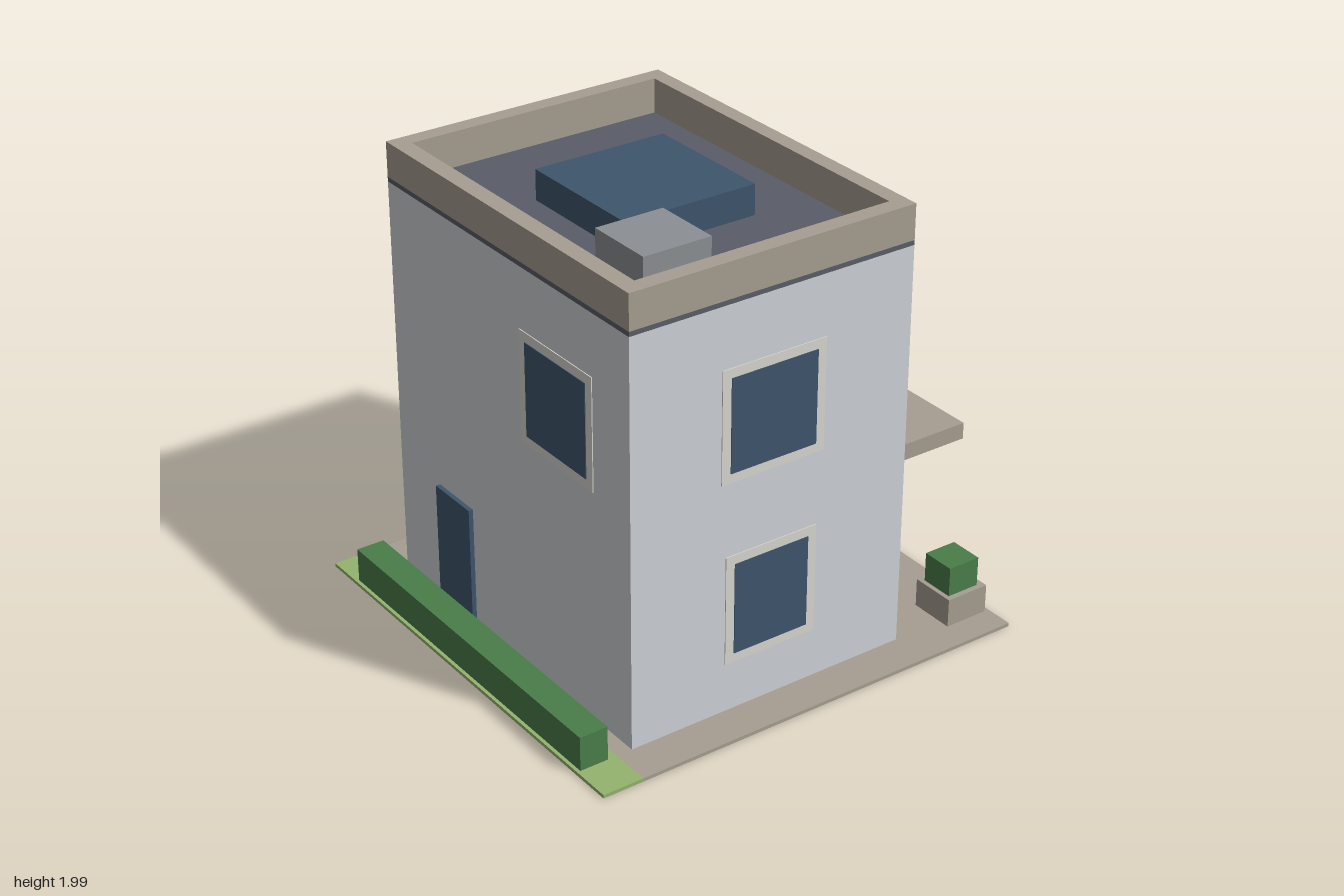
import * as THREE from 'three';

const COLORS = {
  wall: 0xced2d6, stone: 0xa69e91, slate: 0x5a5d69, glass: 0x3e566c, shopGlass: 0x587b9a,
  frame: 0xd8d6cf, grass: 0x94b36e, hedge: 0x4a7d4a, wood: 0x926a4c, metal: 0x8c9094,
};
const materials = {};
for (const key in COLORS) {
  materials[key] = new THREE.MeshStandardMaterial({ color: COLORS[key], flatShading: true });
}

// Box given by its extents on each axis
function box(parent, name, mat, [x0, x1], [y0, y1], [z0, z1]) {
  const mesh = new THREE.Mesh(new THREE.BoxGeometry(x1 - x0, y1 - y0, z1 - z0), materials[mat]);
  mesh.name = name;
  mesh.position.set((x0 + x1) / 2, (y0 + y1) / 2, (z0 + z1) / 2);
  parent.add(mesh);
  return mesh;
}

function rect(target, x0, x1, y0, y1) {
  target.moveTo(x0, y0);
  target.lineTo(x1, y0);
  target.lineTo(x1, y1);
  target.lineTo(x0, y1);
  target.closePath();
  return target;
}

// Framed window built facing +z, centred on its own origin
function makeWindow(name, w, h, glass = 'glass') {
  const group = new THREE.Group();
  group.name = name;
  const b = 0.04;
  box(group, 'windowFrame', 'frame', [-w / 2 - b, w / 2 + b], [-h / 2 - b, h / 2 + b], [-0.01, 0.004]);
  box(group, 'windowPane', glass, [-w / 2, w / 2], [-h / 2, h / 2], [-0.01, 0.007]);
  return group;
}

export function createModel() {
  const model = new THREE.Group();
  model.name = 'house';
  const W = 0.825, BACK = -0.55, FRONT = 0.75, G = 0.015;

  // Plot
  box(model, 'paving', 'stone', [-1, 1], [0, G], [-1, 0.82]);
  box(model, 'lawn', 'grass', [-1, 1], [0, G], [0.82, 1]);
  box(model, 'hedge', 'hedge', [-W, W], [G, 0.165], [0.86, 0.985]);

  // Main body and roof slab
  box(model, 'walls', 'wall', [-W, W], [G, 1.77], [BACK, FRONT]);
  box(model, 'roofSlab', 'slate', [-W, W], [1.77, 1.79], [BACK, FRONT]);

  // Parapet ring, extruded upwards (shape y becomes -z)
  const ring = rect(new THREE.Shape(), -W, W, -FRONT, -BACK);
  ring.holes.push(rect(new THREE.Path(), -0.752, 0.752, -0.675, 0.48));
  const ringGeo = new THREE.ExtrudeGeometry(ring, { depth: 0.15, bevelEnabled: false });
  ringGeo.rotateX(-Math.PI / 2);
  const parapet = new THREE.Mesh(ringGeo, materials.stone);
  parapet.name = 'parapet';
  parapet.position.y = 1.79;
  model.add(parapet);

  // Roof fittings
  box(model, 'skylight', 'glass', [-0.3, 0.3], [1.79, 1.92], [-0.2, 0.4]);
  box(model, 'roofUnit', 'metal', [0.4, 0.7], [1.79, 1.99], [0.3, 0.6]);

  // Front window and door
  const frontWindow = makeWindow('frontWindow', 0.4, 0.4);
  frontWindow.position.set(0.35, 1.27, FRONT);
  model.add(frontWindow);
  box(model, 'frontDoor', 'glass', [-0.525, -0.275], [G, 0.54], [FRONT - 0.01, FRONT + 0.02]);

  // Two windows on each side
  for (const s of [-1, 1]) {
    for (const [floor, w, y] of [['Lower', 0.35, 0.47], ['Upper', 0.4, 1.27]]) {
      const win = makeWindow((s > 0 ? 'left' : 'right') + floor + 'Window', w, 0.4);
      win.position.set(s * W, y, 0.1);
      win.rotation.y = s * Math.PI / 2;
      model.add(win);
    }
  }

  // Back: wide window, display window, door and canopy
  for (const [name, x, y, w, h, glass] of [
    ['backUpperWindow', 0, 1.32, 1.0, 0.5, 'glass'],
    ['displayWindow', -0.255, 0.455, 0.95, 0.68, 'shopGlass'],
  ]) {
    const win = makeWindow(name, w, h, glass);
    win.position.set(x, y, BACK);
    win.rotation.y = Math.PI;
    model.add(win);
  }
  box(model, 'backDoor', 'glass', [0.37, 0.69], [G, 0.67], [BACK - 0.02, BACK + 0.01]);
  box(model, 'canopy', 'stone', [-W, W], [0.845, 0.915], [-0.85, BACK]);

  // Bench and planters
  box(model, 'bench', 'wood', [-0.2, 0.2], [G, 0.12], [-0.965, -0.845]);
  for (const s of [-1, 1]) {
    const x = s * 0.775;
    box(model, 'planter', 'stone', [x - 0.1, x + 0.1], [G, 0.14], [-0.98, -0.78]);
    box(model, 'shrub', 'hedge', [x - 0.075, x + 0.075], [0.14, 0.27], [-0.95, -0.8]);
  }

  return model;
}
